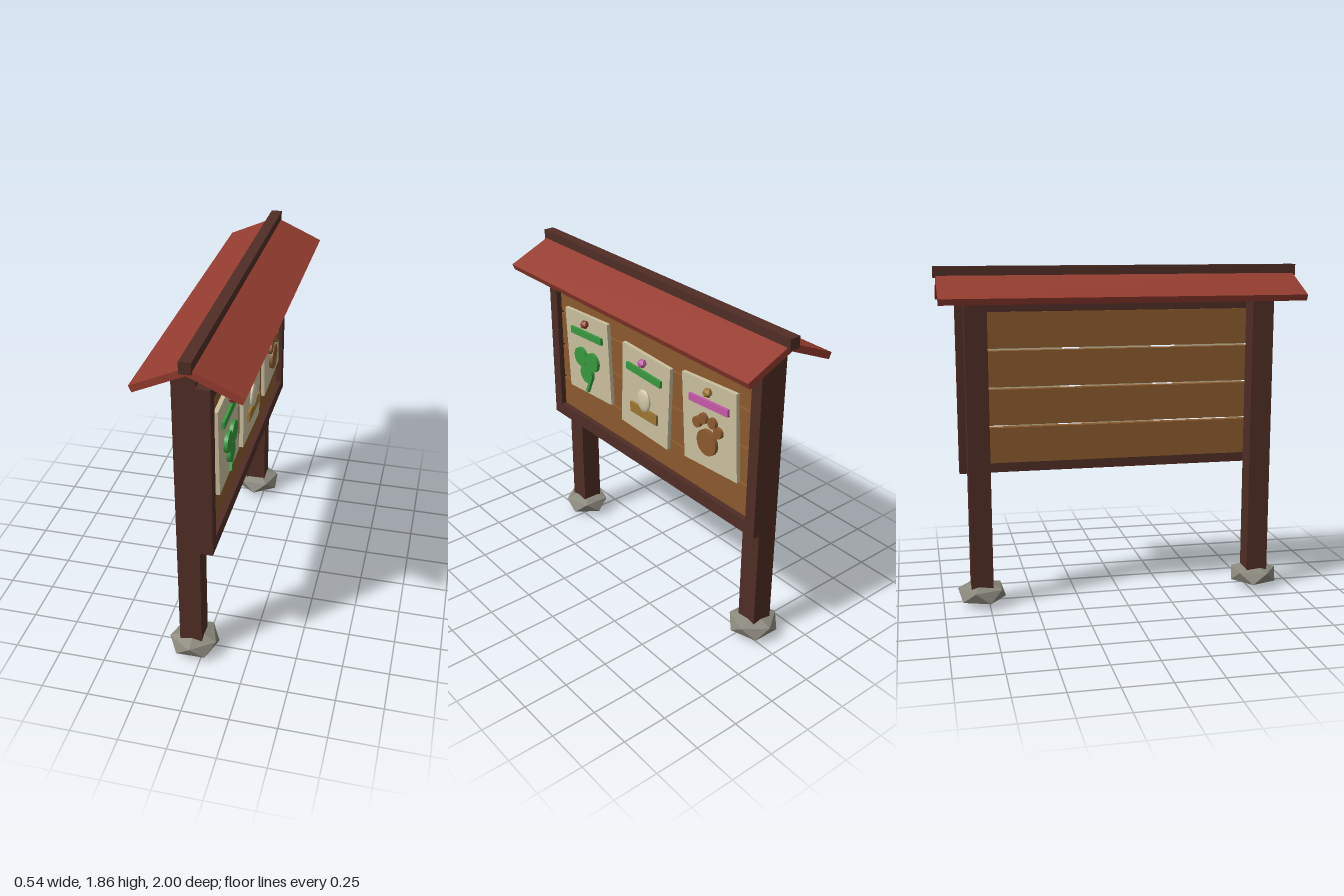
import * as THREE from 'three';

const mat = (name, color) => {
  const m = new THREE.MeshStandardMaterial({ color });
  m.name = name;
  return m;
};

export function createModel() {
  const dark = mat('darkWood', 0x4f2d25);
  const plank = mat('plankWood', 0x8a5a2e);
  const red = mat('roofRed', 0x943c2f);
  const paper = mat('paper', 0xcabe9d);
  const green = mat('green', 0x36983f);
  const pink = mat('pink', 0xc358a8);
  const gold = mat('gold', 0x9c7631);
  const stone = mat('stone', 0x8a877c);
  const cream = mat('cream', 0xd0c6a8);
  for (const m of [stone, red, pink, gold]) m.flatShading = true;

  const model = new THREE.Group();
  model.name = 'noticeBoard';
  // Built facing +z, then turned so the notices face +x
  model.rotation.y = Math.PI / 2;

  const add = (parent, name, geometry, material, x, y, z) => {
    const mesh = new THREE.Mesh(geometry, material);
    mesh.name = name;
    mesh.position.set(x, y, z);
    parent.add(mesh);
    return mesh;
  };
  const box = (parent, name, material, w, h, d, x, y, z) =>
    add(parent, name, new THREE.BoxGeometry(w, h, d), material, x, y, z);
  const disc = (parent, name, material, r, x, y, z, d = 0.022) => {
    const g = new THREE.CylinderGeometry(r, r, d, 16).rotateX(Math.PI / 2);
    return add(parent, name, g, material, x, y, z);
  };

  // Posts on foot stones
  for (const s of [-1, 1]) {
    box(model, 'post', dark, 0.12, 1.7, 0.12, s * 0.79, 0.9, -0.055);
    const rock = new THREE.IcosahedronGeometry(0.148, 0)
      .rotateX(-1.0172).rotateY(s * 0.3).scale(1, 0.46, 1);
    add(model, 'footStone', rock, stone, s * 0.79, 0.072, -0.05);
  }

  // Four planks with gaps between
  for (let i = 0; i < 4; i++) {
    box(model, 'plank', plank, 1.68, 0.197, 0.045, 0, 0.886 + i * 0.2105, 0.03);
  }

  // Frame around the planks
  for (const s of [-1, 1]) {
    box(model, 'frameSide', dark, 0.067, 0.935, 0.072, s * 0.8565, 1.2025, 0.048);
    box(model, 'frameRail', dark, 1.65, 0.072, 0.072, 0, 1.2025 + s * 0.4315, 0.048);
  }

  // Roof slopes and ridge beam
  const pitch = 0.419;
  for (const s of [-1, 1]) {
    const slope = box(model, 'roofSlope', red, 1.97, 0.036, 0.29, 0, 1.7475, s * 0.13);
    slope.rotation.x = s * pitch;
  }
  box(model, 'ridgeBeam', dark, 2, 0.06, 0.06, 0, 1.83, 0);

  // One notice: sheet, heading bar and pin
  const notice = (name, x, y, tilt, barMaterial, pinMaterial) => {
    const g = new THREE.Group();
    g.name = name;
    g.position.set(x, y, 0.068);
    model.add(g);
    box(g, 'sheet', paper, 0.407, 0.49, 0.022, 0, 0, 0).rotation.z = tilt;
    box(g, 'headingBar', barMaterial, 0.294, 0.04, 0.02, 0, 0.13, 0.016).rotation.z = tilt;
    add(g, 'pin', new THREE.IcosahedronGeometry(0.027, 0), pinMaterial, 0, 0.199, 0.03);
    return g;
  };

  // Clover notice
  const clover = notice('cloverNotice', -0.527, 1.238, 0.055, green, red);
  for (const [x, y] of [[-0.055, -0.022], [0.055, -0.022], [0, -0.11]]) {
    disc(clover, 'leaf', green, 0.057, x, y, 0.02);
  }
  box(clover, 'stem', green, 0.02, 0.11, 0.018, 0.018, -0.178, 0.018).rotation.z = -0.42;

  // Egg notice
  const egg = notice('eggNotice', 0, 1.19, -0.04, green, pink);
  box(egg, 'nest', gold, 0.23, 0.06, 0.018, 0, -0.105, 0.016);
  const eggGeo = new THREE.SphereGeometry(1, 20, 14).scale(0.052, 0.068, 0.018);
  add(egg, 'egg', eggGeo, cream, 0, -0.03, 0.018);

  // Paw notice
  const paw = notice('pawNotice', 0.527, 1.225, 0.065, pink, gold);
  disc(paw, 'pad', plank, 0.073, 0, -0.088, 0.02);
  for (const [x, y] of [[0.08, 0], [0.035, 0.037]]) {
    for (const s of [-1, 1]) disc(paw, 'toe', plank, 0.03, s * x, y, 0.02);
  }

  const root = new THREE.Group();
  root.add(model);
  return root;
}
